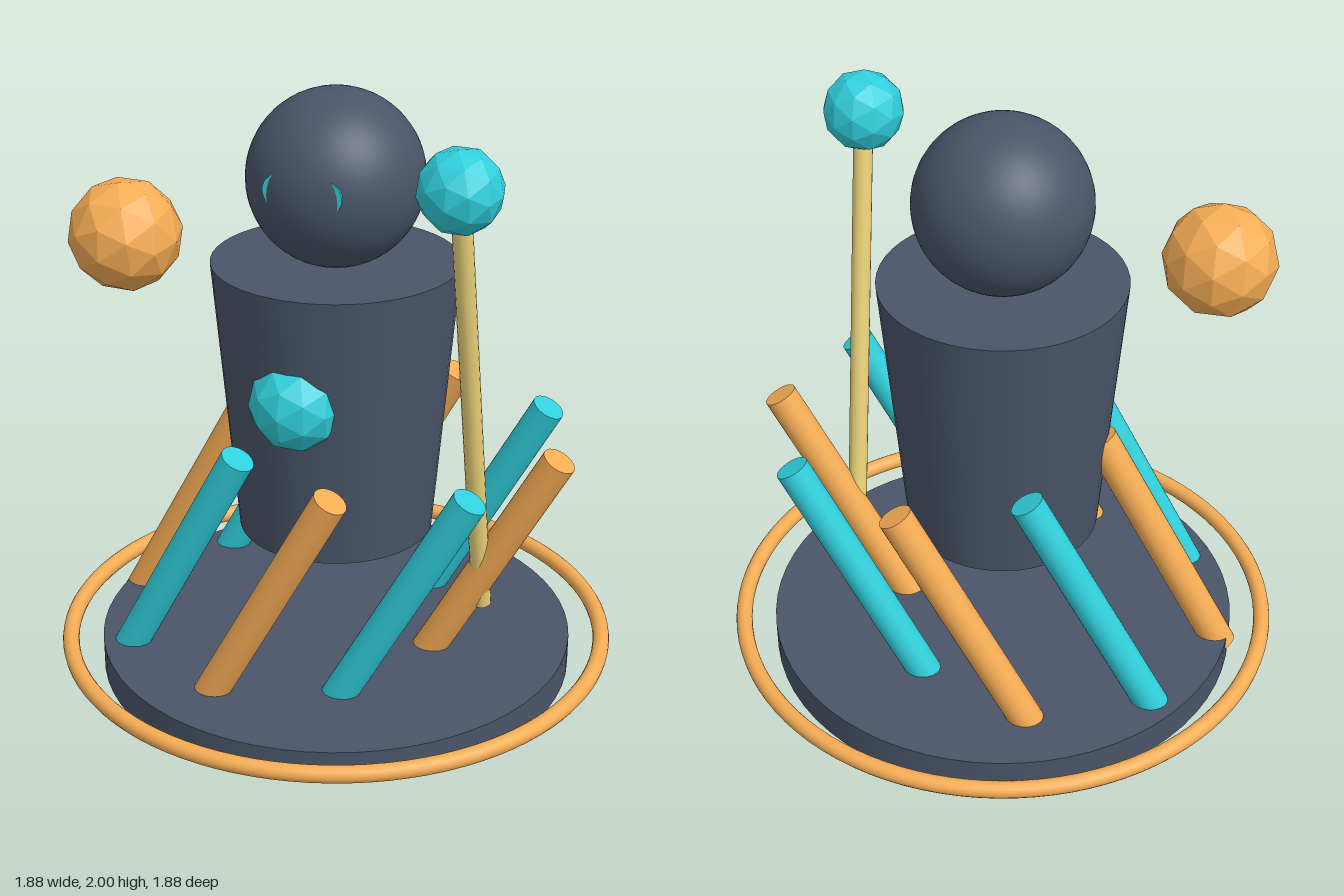
import * as THREE from 'three';

const material = (color, extra = {}) => new THREE.MeshStandardMaterial({ color, ...extra });

export function createModel() {
  const model = new THREE.Group();
  const slate = material(0x4a5568);
  const orange = material(0xf6ad55);
  const teal = material(0x30cfdc);
  const wood = material(0xecd47a);
  const orangeFacets = material(0xf6ad55, { flatShading: true });
  const tealFacets = material(0x30cfdc, { flatShading: true });

  const add = (name, geometry, mat, x, y, z) => {
    const mesh = new THREE.Mesh(geometry, mat);
    mesh.name = name;
    mesh.position.set(x, y, z);
    model.add(mesh);
    return mesh;
  };

  // Round base with a floating ring around it
  add('base', new THREE.CylinderGeometry(0.8, 0.8, 0.107, 64), slate, 0, 0.0535, 0);
  add('baseRing', new THREE.TorusGeometry(0.91, 0.028, 16, 96), orange, 0, 0.104, 0)
    .rotation.x = Math.PI / 2;

  // Hovering tapered body and head
  add('body', new THREE.CylinderGeometry(0.403, 0.323, 0.93, 48), slate, 0, 0.975, 0);
  add('head', new THREE.SphereGeometry(0.286, 48, 32), slate, 0, 1.714, 0);

  // Eye discs set into the head so only their outer rims show
  for (const side of [-1, 1]) {
    add(side > 0 ? 'leftEye' : 'rightEye', new THREE.CylinderGeometry(0.053, 0.053, 0.03, 24),
      teal, side * 0.08, 1.732, 0.2446).rotation.x = Math.PI / 2;
  }

  // Faceted gem in the chest
  add('chestGem', new THREE.IcosahedronGeometry(0.155, 1), tealFacets, 0, 1.06, 0.303);

  // Ring of eight slanted rods in alternating colours
  const rod = new THREE.CylinderGeometry(0.056, 0.056, 0.93, 24);
  for (let i = 0; i < 8; i++) {
    const a = (i * Math.PI) / 4;
    add('rod' + (i + 1), rod, i % 2 ? teal : orange, 0.55 * Math.cos(a), 0.465, 0.55 * Math.sin(a))
      .rotation.set(-0.02 * Math.sin(2 * a), 0, -0.5);
  }

  // Leaning staff with a faceted orb on its tip
  const foot = new THREE.Vector3(0.525, 0.3, -0.01);
  const tip = new THREE.Vector3(0.525, 1.826, 0.298);
  const middle = foot.clone().add(tip).multiplyScalar(0.5);
  add('staff', new THREE.CylinderGeometry(0.032, 0.032, foot.distanceTo(tip), 16), wood,
    middle.x, middle.y, middle.z).rotation.x = Math.atan2(tip.z - foot.z, tip.y - foot.y);
  add('staffOrb', new THREE.IcosahedronGeometry(0.133, 1), tealFacets, tip.x, tip.y, tip.z)
    .rotation.x = 0.2;

  // Floating orb at the other side
  add('floatingOrb', new THREE.IcosahedronGeometry(0.187, 1), orangeFacets, -0.661, 1.49, 0.186)
    .rotation.x = 0.2;

  return model;
}
